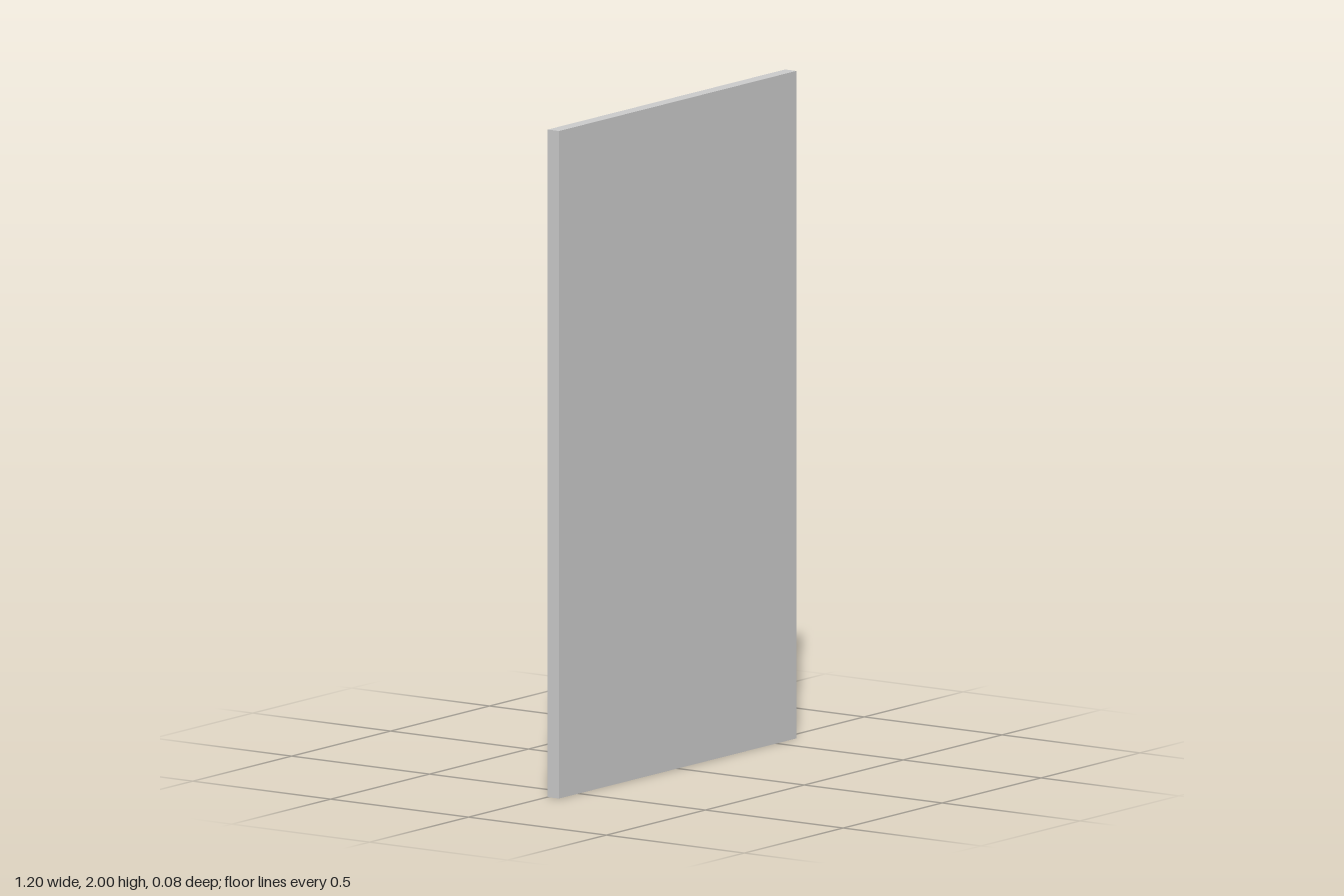
import * as THREE from 'three';

export function createModel() {
  const group = new THREE.Group();
  const material = new THREE.MeshStandardMaterial({ color: 0xcccccc, flatShading: true });

  // Flat door slab
  const panel = new THREE.Mesh(new THREE.BoxGeometry(1.2, 2, 0.041), material);
  panel.name = 'doorPanel';
  panel.position.set(0, 1, 0.0205);
  group.add(panel);

  // Square knob with a tapered recess: a four-sided lathe of half-width and height
  const depth = 0.043;
  const profile = [
    [0, 0], [0.05, 0], [0.05, depth], [0.04, depth], [0.025, depth - 0.022], [0, depth - 0.022],
  ].map(([half, h]) => new THREE.Vector2(half * Math.SQRT2, h));
  const knobGeometry = new THREE.LatheGeometry(profile, 4, Math.PI / 4);
  knobGeometry.rotateX(-Math.PI / 2); // open end points to the back
  const knob = new THREE.Mesh(knobGeometry, material);
  knob.name = 'doorKnob';
  knob.position.set(0.526, 0.94, 0);
  knob.scale.x = 0.97;
  group.add(knob);

  return group;
}
